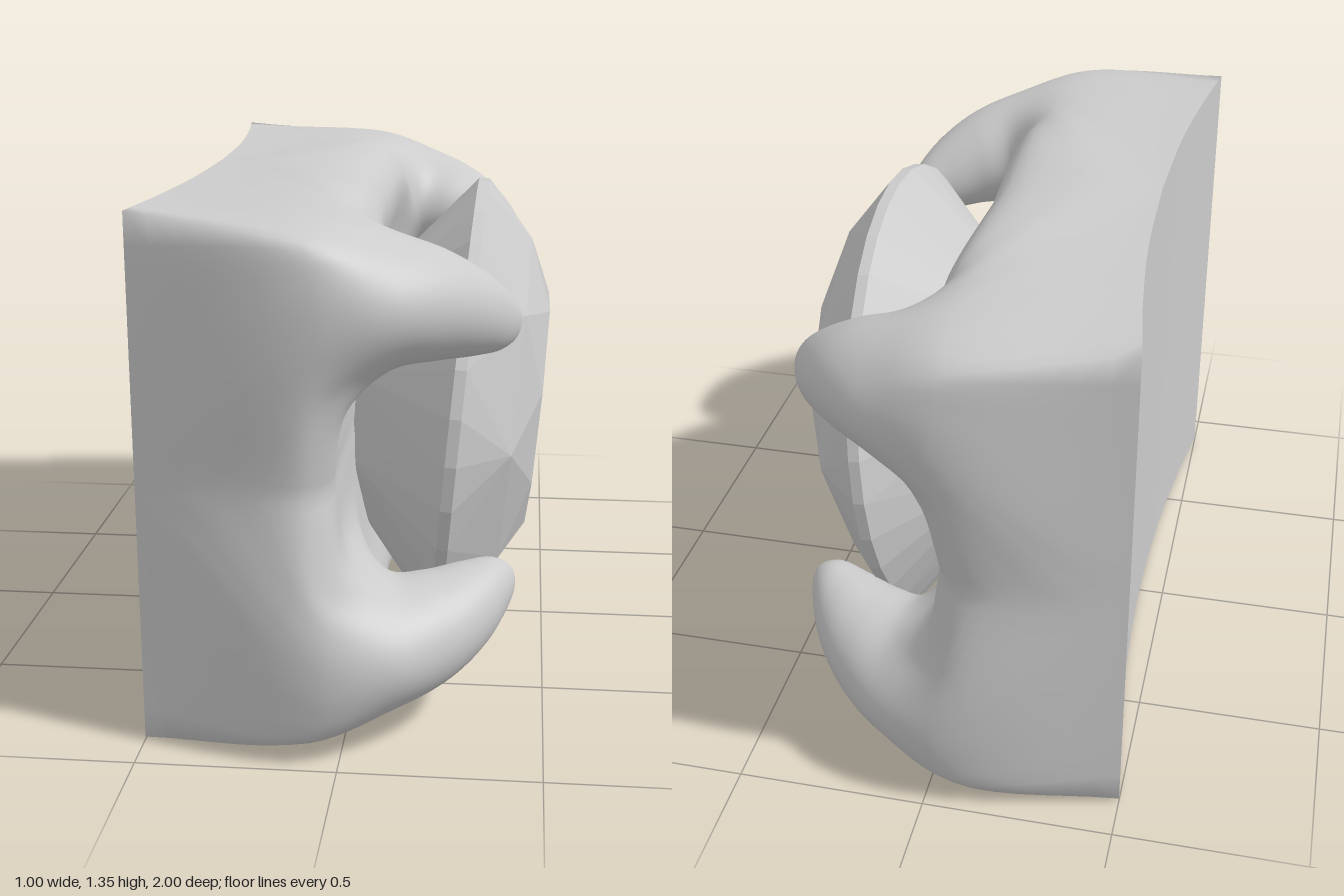
import * as THREE from 'three';
import { mergeGeometries, mergeVertices } from 'three/addons/utils/BufferGeometryUtils.js';
import { ConvexGeometry } from 'three/addons/geometries/ConvexGeometry.js';

const MID_Y = 0.678; // height of the horizontal mirror plane
const STEPS = 4; // samples per control interval around a loop
const ROWS = 48; // samples from the back edge to a claw tip
const vectors = (list) => list.map((p) => new THREE.Vector3(...p));

// Boundary of one quarter (x, height above middle, z): back edge, two mirror planes, side edge
const boundary = vectors([
  [-0.5, 0.67, 0.88], [-0.469, 0.67, 0.65], [-0.441, 0.67, 0.35], [-0.43, 0.67, 0],
  [-0.2, 0.675, 0], [-0.02, 0.64, 0], [0.04, 0.55, 0], [0.0, 0.35, 0],
  [-0.03, 0, 0], [-0.03, 0, 0.4], [-0.03, 0, 0.7], [-0.03, 0, 0.87],
  [-0.1, 0, 0.95], [-0.3, 0, 0.935], [-0.5, 0, 0.88], [-0.5, 0.35, 0.88],
]);

// Shoulder where the block swells into the claw
const shoulder = vectors([
  [-0.08, 0.62, 0.965], [-0.06, 0.65, 0.86], [-0.04, 0.655, 0.73], [-0.05, 0.655, 0.58],
  [-0.03, 0.65, 0.47], [0.02, 0.62, 0.42], [0.06, 0.54, 0.4], [0.02, 0.37, 0.42],
  [0.0, 0.23, 0.46], [0.0, 0.2, 0.59], [0.0, 0.19, 0.73], [0.01, 0.2, 0.89],
  [-0.04, 0.24, 0.965], [-0.05, 0.32, 0.99], [-0.05, 0.42, 1.0], [-0.06, 0.53, 0.993],
]);

// Elliptical claw sections: centre x, y, z, then radius in z, radius in y, lean
const clawSections = [
  [0.11, 0.44, 0.735, 0.215, 0.165, 0.1],
  [0.22, 0.42, 0.68, 0.155, 0.135, 0.3],
  [0.31, 0.385, 0.615, 0.108, 0.105, 0.4],
  [0.375, 0.355, 0.56, 0.068, 0.072, 0.35],
  [0.41, 0.345, 0.54, 0.03, 0.035, 0.25],
];

function sampleEdges(points, corners) {
  const out = [];
  for (let e = 0; e < corners.length - 1; e++) {
    const edge = [];
    for (let k = corners[e]; k <= corners[e + 1]; k++) edge.push(points[k % points.length]);
    const curve = new THREE.CatmullRomCurve3(edge);
    const n = (edge.length - 1) * STEPS;
    for (let i = 0; i < n; i++) out.push(curve.getPoint(i / n));
  }
  return out;
}

function quarterLoops() {
  const count = boundary.length * STEPS;
  const ring = new THREE.CatmullRomCurve3(shoulder, true);
  const loops = [
    sampleEdges(boundary, [0, 3, 8, 14, 16]),
    Array.from({ length: count }, (_, i) => ring.getPoint(i / count)),
  ];
  for (const [x, y, z, rz, ry, lean] of clawSections) {
    loops.push(Array.from({ length: count }, (_, i) => {
      const a = Math.PI / 4 + (i / count) * Math.PI * 2;
      const dz = rz * Math.cos(a), dy = ry * Math.sin(a);
      return new THREE.Vector3(x + lean * (dz + 0.4 * dy), y + dy, z + dz);
    }));
  }
  const tip = new THREE.Vector3(0.42, 0.345, 0.535);
  loops.push(Array.from({ length: count }, () => tip));
  return loops;
}

// Quarter of the setting: smooth loft from the boundary up to the claw tip
function quarterGeometry(loops, sy, sz) {
  const count = loops[0].length;
  const positions = [], index = [];
  for (let i = 0; i < count; i++) {
    const curve = new THREE.CatmullRomCurve3(loops.map((loop) => loop[i]));
    for (let r = 0; r <= ROWS; r++) {
      const p = curve.getPoint(r / ROWS);
      positions.push(p.x, MID_Y + sy * p.y, sz * p.z);
    }
  }
  const id = (i, r) => (i % count) * (ROWS + 1) + r;
  for (let i = 0; i < count; i++) {
    for (let r = 0; r < ROWS; r++) {
      const a = id(i, r), b = id(i, r + 1), c = id(i + 1, r), d = id(i + 1, r + 1);
      if (sy * sz > 0) index.push(a, b, c, b, d, c);
      else index.push(a, c, b, b, c, d);
    }
  }
  const geometry = new THREE.BufferGeometry();
  geometry.setAttribute('position', new THREE.Float32BufferAttribute(positions, 3));
  geometry.setIndex(index);
  return geometry;
}

function settingGeometry() {
  const loops = quarterLoops();
  const quarters = [];
  for (const sy of [1, -1]) for (const sz of [1, -1]) quarters.push(quarterGeometry(loops, sy, sz));
  const geometry = mergeVertices(mergeGeometries(quarters), 1e-4);
  geometry.computeVertexNormals();
  return geometry;
}

// Hollow-curved back sheet
function backGeometry() {
  const geometry = new THREE.PlaneGeometry(1.76, 1.34, 24, 1).rotateY(-Math.PI / 2);
  const pos = geometry.attributes.position;
  for (let i = 0; i < pos.count; i++) pos.setX(i, -0.43 - 0.07 * (pos.getZ(i) / 0.88) ** 2);
  geometry.translate(0, MID_Y, 0);
  geometry.computeVertexNormals();
  return geometry;
}

// Round brilliant cut: rings of facet corners around the axis, wrapped by a convex hull
function gemGeometry() {
  const points = [new THREE.Vector3(0, -0.5, 0)];
  const ring = (n, radius, height, turn = 0) => {
    for (let i = 0; i < n; i++) {
      const a = ((i + turn) / n) * Math.PI * 2;
      points.push(new THREE.Vector3(radius * Math.cos(a), height, radius * Math.sin(a)));
    }
  };
  ring(8, 0.337, 0.22, 0.5); // table
  ring(8, 0.485, 0.152); // crown
  ring(32, 0.635, 0.015); // girdle
  ring(32, 0.635, -0.015);
  ring(8, 0.3, -0.3, 0.5); // pavilion
  return new ConvexGeometry(points);
}

export function createModel() {
  const model = new THREE.Group();
  model.name = 'gemSetting';
  const add = (name, geometry, options = {}) => {
    const mesh = new THREE.Mesh(geometry, new THREE.MeshStandardMaterial({ color: 0xcccccc, ...options }));
    mesh.name = name;
    model.add(mesh);
    return mesh;
  };
  add('clawSetting', settingGeometry());
  add('settingBack', backGeometry());
  const gem = add('gem', gemGeometry(), { flatShading: true });
  gem.position.set(0.25, 0.665, 0);
  gem.rotation.z = THREE.MathUtils.degToRad(-95);
  return model;
}
